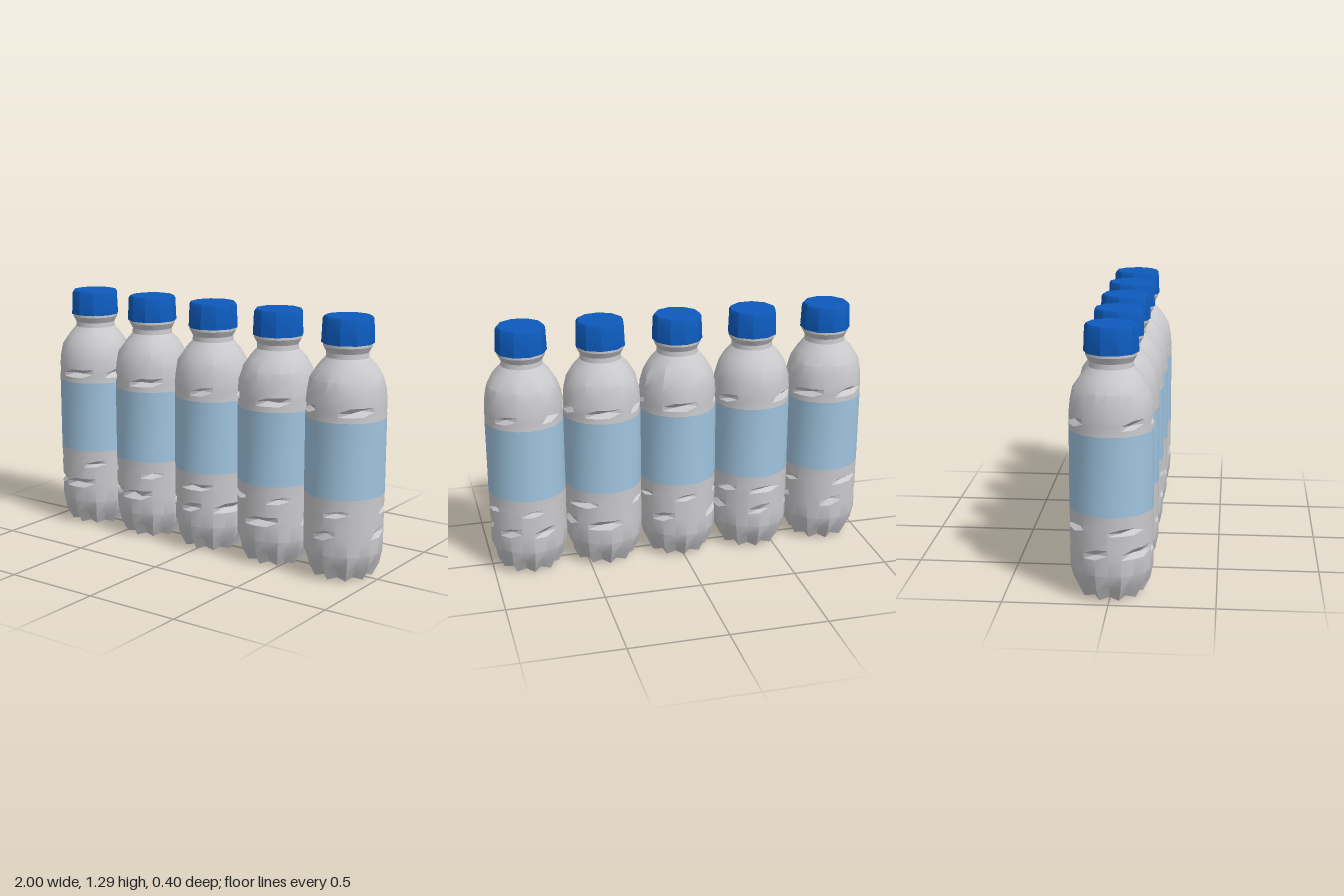
import * as THREE from 'three';
import { toCreasedNormals } from 'three/addons/utils/BufferGeometryUtils.js';

const SIDES = 20;

// Small seeded generator for the dents
function makeRandom(seed) {
  let s = seed * 7919 + 17;
  return () => (s = (s * 16807) % 2147483647) / 2147483647;
}

// Skin of stacked rings; each ring is an array of [x, y, z] points
function skin(rings, crease) {
  const n = rings[0].length;
  const index = [];
  for (let j = 0; j < rings.length - 1; j++) {
    for (let i = 0; i < n; i++) {
      const k = (i + 1) % n;
      const a = j * n + i, b = j * n + k, c = a + n, d = b + n;
      index.push(a, b, d, a, d, c);
    }
  }
  const g = new THREE.BufferGeometry();
  g.setAttribute('position', new THREE.Float32BufferAttribute(rings.flat(2), 3));
  g.setIndex(index);
  return toCreasedNormals(g, crease);
}

// Ring with a rule that may change radius and height at each corner
function ring(r, y, rule) {
  return Array.from({ length: SIDES }, (_, i) => {
    const a = (i / SIDES) * Math.PI * 2;
    const [dr, dy] = rule ? rule(i) : [0, 0];
    return [(r + dr) * Math.sin(a), y + dy, (r + dr) * Math.cos(a)];
  });
}

// Three rings that form a band with a few pinched wedge dents
function dentBand(y, half, random) {
  const depth = new Array(SIDES).fill(0);
  const tilt = new Array(SIDES).fill(0);
  let i = Math.floor(random() * 3);
  while (i < SIDES - 2) {
    const width = 1 + Math.floor(random() * 2);
    const lean = (random() - 0.5) * 0.02;
    for (let k = 0; k < width; k++) {
      depth[i + k] = -0.018 - random() * 0.014;
      tilt[i + k] = lean * (k ? 1 : -1);
    }
    i += width + 2 + Math.floor(random() * 3);
  }
  return [
    ring(0.199, y - half),
    ring(0.199, y, (c) => [depth[c], tilt[c]]),
    ring(0.199, y + half),
  ];
}

export function createModel() {
  const plastic = new THREE.MeshStandardMaterial({ color: 0xcacacd });
  plastic.name = 'clear grey plastic';
  const labelBlue = new THREE.MeshStandardMaterial({ color: 0xa0c4df });
  labelBlue.name = 'pale blue label';
  const capBlue = new THREE.MeshStandardMaterial({ color: 0x0d5abb });
  capBlue.name = 'deep blue cap';

  const model = new THREE.Group();
  model.name = 'bottleRow';

  for (let b = 0; b < 5; b++) {
    const random = makeRandom(b + 1);
    const bottle = new THREE.Group();
    bottle.name = `bottle${b + 1}`;
    bottle.position.x = -0.8 + b * 0.4;
    const add = (name, geometry, material) => {
      const mesh = new THREE.Mesh(geometry, material);
      mesh.name = name;
      bottle.add(mesh);
      return mesh;
    };

    // Fluted foot and dented lower body
    const notch = (depth, lift) => (i) => (i % 2 ? [-depth, lift] : [0, 0]);
    add('lowerBody', skin([
      ring(0.0, 0.012),
      ring(0.15, 0.004, notch(0.03, 0.01)),
      ring(0.184, 0.07, notch(0.022, 0.005)),
      ring(0.198, 0.14),
      ...dentBand(0.245, 0.025, random),
      ...dentBand(0.355, 0.017, random),
      ring(0.2, 0.43),
    ], 0.5), plastic);

    // Label wrapped flush around the middle
    add('label', skin([ring(0.2, 0.43), ring(0.2, 0.81)], 0.5), labelBlue);

    // Shoulder narrowing to the neck, with slight crumples
    const crumple = (amount) => () => [-random() * amount, 0];
    add('shoulder', skin([
      ring(0.2, 0.81),
      ...dentBand(0.86, 0.022, random),
      ring(0.197, 0.94, crumple(0.006)),
      ring(0.183, 1.0, crumple(0.009)),
      ring(0.149, 1.055, crumple(0.007)),
      ring(0.106, 1.1),
      ring(0.104, 1.125),
      ring(0.121, 1.155),
      ring(0.121, 1.18),
    ], 0.45), plastic);

    // Faceted screw cap with a small bevel on top
    const cap = add('cap', toCreasedNormals(new THREE.LatheGeometry([
      new THREE.Vector2(0, 1.168),
      new THREE.Vector2(0.129, 1.168),
      new THREE.Vector2(0.124, 1.285),
      new THREE.Vector2(0.116, 1.298),
      new THREE.Vector2(0, 1.298),
    ], 10), 0.5), capBlue);
    cap.rotation.y = b * 0.37;

    model.add(bottle);
  }
  return model;
}
